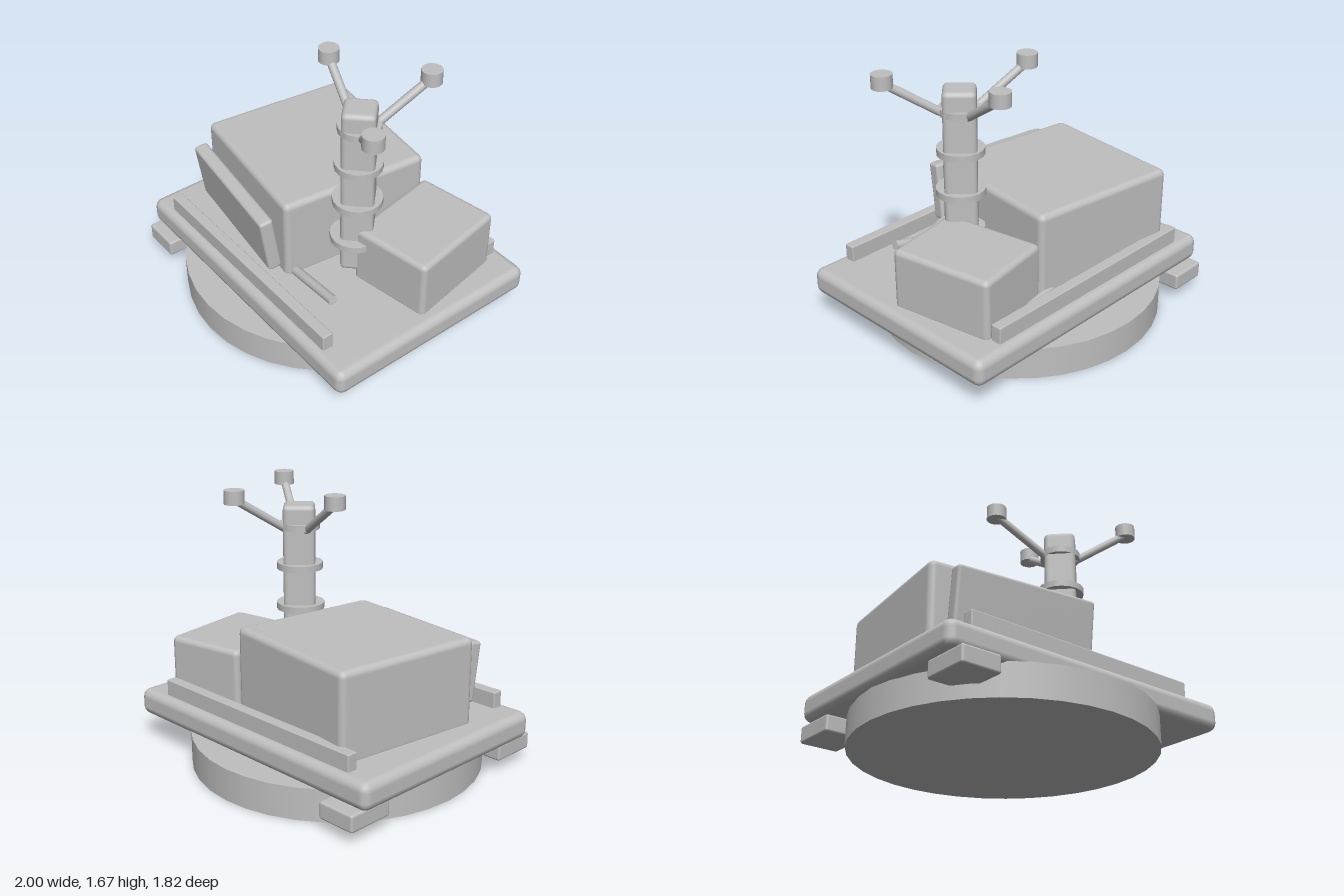
import * as THREE from 'three';
import { RoundedBoxGeometry } from 'three/addons/geometries/RoundedBoxGeometry.js';

export function createModel() {
  const model = new THREE.Group();
  model.name = 'rooftopPlant';
  const grey = new THREE.MeshStandardMaterial({ color: 0xbfbfbf });
  grey.name = 'plain grey';

  function add(name, geometry, x, y, z, yaw = 0, pitch = 0) {
    const mesh = new THREE.Mesh(geometry, grey);
    mesh.name = name;
    mesh.position.set(x, y, z);
    mesh.rotation.set(pitch, yaw, 0, 'YXZ');
    model.add(mesh);
    return mesh;
  }
  const rounded = (w, h, d, r) => new RoundedBoxGeometry(w, h, d, 2, r);
  const disc = (r, h, n) => new THREE.CylinderGeometry(r, r, h, n);

  // Straight round bar between two points
  function bar(name, from, to, r) {
    const a = new THREE.Vector3(...from), b = new THREE.Vector3(...to);
    const dir = b.clone().sub(a);
    const mid = a.clone().add(b).multiplyScalar(0.5);
    const mesh = add(name, disc(r, dir.length(), 12), mid.x, mid.y, mid.z);
    mesh.quaternion.setFromUnitVectors(new THREE.Vector3(0, 1, 0), dir.normalize());
  }

  // Round base and deck
  add('base', disc(0.91, 0.2, 36), -0.065, 0.1, 0);
  add('deck', rounded(2, 0.172, 1.46, 0.055), 0, 0.266, 0);

  // Rails on the deck and blocks under its corners, front and back
  for (const s of [1, -1]) {
    add('rail', rounded(1.6, 0.13, 0.07, 0.008), -0.02, 0.39, s * 0.64);
    add('cornerBlock', rounded(0.25, 0.107, 0.3, 0.015), -0.835, 0.133, s * 0.64);
  }

  // Two housings and the leaning panel
  add('largeHousing', rounded(1.015, 0.565, 0.985, 0.04), -0.29, 0.603, -0.085, -0.125);
  add('smallHousing', rounded(0.535, 0.4, 0.665, 0.035), 0.6, 0.522, -0.232, 0.172);
  add('leaningPanel', rounded(0.905, 0.385, 0.09, 0.02), -0.325, 0.62, 0.495, -0.13, 0.135);

  // Loose pipes beside the large housing
  bar('frontPipe', [0.1, 0.355, 0.4], [0.575, 0.452, 0.442], 0.03);
  bar('rearPipe', [0.15, 0.37, -0.5], [0.42, 0.37, -0.54], 0.025);

  // Mast set on its corner, with four collars
  const mx = 0.345, mz = 0.073;
  add('mast', rounded(0.198, 1.14, 0.198, 0.03), mx, 0.97, mz, Math.PI / 4);
  [[0.618, 0.153, 0.092], [0.886, 0.152, 0.078], [1.148, 0.145, 0.074], [1.403, 0.128, 0.073]]
    .forEach(([y, r, z]) => add('collar', disc(r, 0.042, 18), mx - 0.002, y, z));

  // Three raised arms with round caps
  for (const [x, z] of [[0.45, -0.36], [-0.09, -0.047], [0.725, 0.297]]) {
    const at = (t, y) => [mx + (x - mx) * t, y, mz + (z - mz) * t];
    bar('arm', at(0.15, 1.37), at(1, 1.61), 0.026);
    add('armCap', disc(0.063, 0.085, 16), x, 1.625, z);
  }
  return model;
}
